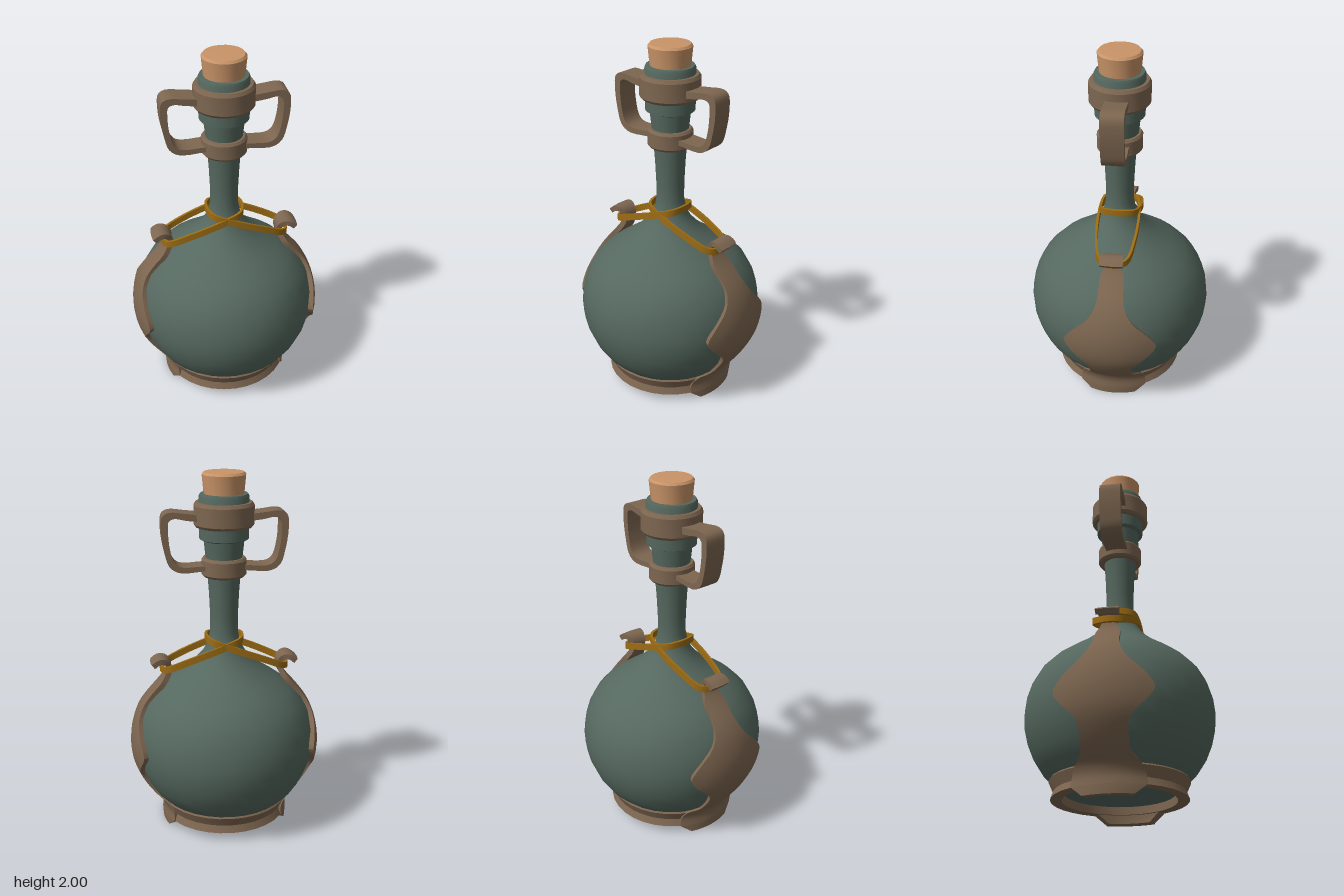
import * as THREE from 'three';
import { toCreasedNormals } from 'three/addons/utils/BufferGeometryUtils.js';

const mat = (name, color) => {
  const m = new THREE.MeshStandardMaterial({ color });
  m.name = name;
  return m;
};

// Skin a series of equal rings; looped joins last to first, otherwise ends are capped
function loft(rings, looped) {
  const n = rings[0].length, count = rings.length, index = [];
  for (let i = 0; i < (looped ? count : count - 1); i++) {
    const k = (i + 1) % count;
    for (let j = 0; j < n; j++) {
      const l = (j + 1) % n;
      const a = i * n + j, b = i * n + l, c = k * n + l, d = k * n + j;
      index.push(a, d, c, a, c, b);
    }
  }
  if (!looped) {
    const top = (count - 1) * n;
    for (let j = 0; j < n / 2 - 1; j++) {
      const q = [j, j + 1, n - 2 - j, n - 1 - j];
      index.push(q[0], q[1], q[2], q[0], q[2], q[3]);
      index.push(top + q[0], top + q[2], top + q[1], top + q[0], top + q[3], top + q[2]);
    }
  }
  const g = new THREE.BufferGeometry().setFromPoints(rings.flat());
  g.setIndex(index);
  return toCreasedNormals(g, 0.6);
}

// Curved plate wrapped round the y axis; rows are (radius, height, half width)
function wrappedPlate(rows, thickness, cols = 8) {
  const rings = rows.map((p, i) => {
    const a = rows[Math.max(i - 1, 0)], b = rows[Math.min(i + 1, rows.length - 1)];
    const len = Math.hypot(b.x - a.x, b.y - a.y);
    const nx = (b.y - a.y) / len, ny = -(b.x - a.x) / len;
    const half = Math.asin(p.z / p.x);
    const side = (r, y) => Array.from({ length: cols + 1 }, (_, j) => {
      const t = half * (2 * j / cols - 1);
      return new THREE.Vector3(r * Math.cos(t), y, r * Math.sin(t));
    });
    return [...side(p.x, p.y), ...side(p.x - nx * thickness, p.y - ny * thickness).reverse()];
  });
  return loft(rings, false);
}

// Flat band swept along a closed curve, standing on edge
function bandLoop(curve, height, thickness, steps = 48) {
  const up = new THREE.Vector3(0, 1, 0), rings = [];
  for (let i = 0; i < steps; i++) {
    const p = curve.getPointAt(i / steps), t = curve.getTangentAt(i / steps);
    const s = t.clone().cross(up).normalize();
    const u = s.clone().cross(t).normalize();
    rings.push([[-1, -1], [1, -1], [1, 1], [-1, 1]].map(([a, b]) =>
      p.clone().addScaledVector(s, a * thickness / 2).addScaledVector(u, b * height / 2)));
  }
  return loft(rings, true);
}

const turned = (points, segments = 32, crease = 0.5) => toCreasedNormals(
  new THREE.LatheGeometry(points.map(([x, y]) => new THREE.Vector2(x, y)), segments), crease);

const vectors = (list) => list.map((p) => new THREE.Vector3(...p));

export function createModel() {
  const model = new THREE.Group();
  const glass = mat('green glass', 0x55685f);
  const metal = mat('brown metal', 0x7d6650);
  const gold = mat('gold strap', 0x9c6c14);
  const corkMat = mat('cork', 0xc99468);

  const add = (name, geometry, material, turn = 0) => {
    const mesh = new THREE.Mesh(geometry, material);
    mesh.name = name;
    mesh.rotation.y = turn;
    model.add(mesh);
  };

  // Round bottle with a long neck and stepped lip
  add('bottle', turned([
    [0, 0.09], [0.29, 0.09], [0.355, 0.145], [0.41, 0.2], [0.455, 0.27], [0.488, 0.35],
    [0.507, 0.43], [0.511, 0.5], [0.502, 0.58], [0.478, 0.66], [0.437, 0.735], [0.375, 0.8],
    [0.30, 0.855], [0.225, 0.905], [0.165, 0.955], [0.12, 1.005], [0.09, 1.06], [0.077, 1.13],
    [0.077, 1.22], [0.083, 1.35], [0.093, 1.48], [0.102, 1.56], [0.11, 1.635], [0.133, 1.645],
    [0.135, 1.7], [0.135, 1.87], [0.128, 1.885], [0, 1.885],
  ]), glass);

  add('cork', turned([[0, 1.87], [0.107, 1.87], [0.118, 1.985], [0.108, 1.997], [0, 2]], 20), corkMat);

  // Metal collars on the neck
  add('upperCollar', turned([
    [0.125, 1.71], [0.152, 1.71], [0.163, 1.725], [0.163, 1.825], [0.152, 1.842], [0.125, 1.842],
  ]), metal);
  add('lowerCollar', turned([
    [0.08, 1.44], [0.112, 1.44], [0.123, 1.453], [0.123, 1.53], [0.113, 1.543], [0.08, 1.543],
  ]), metal);

  // Base ring, open in the middle
  add('baseRing', turned([
    [0.30, 0.05], [0.36, 0.05], [0.345, 0.09], [0.37, 0.145], [0.362, 0.156],
    [0.335, 0.156], [0.30, 0.10], [0.30, 0.05],
  ]), metal);

  // Handle outline, extruded into a flat bar
  const outer = new THREE.CatmullRomCurve3(vectors([
    [0.14, 1.782, 0], [0.21, 1.79, 0], [0.30, 1.797, 0], [0.333, 1.775, 0], [0.34, 1.70, 0],
    [0.325, 1.59, 0], [0.30, 1.51, 0], [0.25, 1.475, 0], [0.10, 1.48, 0]])).getPoints(28);
  const inner = new THREE.CatmullRomCurve3(vectors([
    [0.10, 1.508, 0], [0.24, 1.506, 0], [0.275, 1.535, 0], [0.296, 1.61, 0], [0.303, 1.70, 0],
    [0.298, 1.75, 0], [0.27, 1.764, 0], [0.21, 1.754, 0], [0.14, 1.745, 0]])).getPoints(28);
  const handle = toCreasedNormals(new THREE.ExtrudeGeometry(
    new THREE.Shape([...outer, ...inner].map((p) => new THREE.Vector2(p.x, p.y))),
    { depth: 0.12, bevelEnabled: false }).translate(0, 0, -0.06), 0.6);

  // Arm hugging the bottle, ending in an outward hook
  const arm = wrappedPlate(new THREE.CatmullRomCurve3(vectors([
    [0.363, 0.05, 0.19], [0.36, 0.1, 0.185], [0.378, 0.15, 0.165], [0.415, 0.19, 0.125],
    [0.46, 0.25, 0.12], [0.505, 0.33, 0.13], [0.53, 0.405, 0.2], [0.537, 0.485, 0.255],
    [0.53, 0.56, 0.21], [0.505, 0.65, 0.12], [0.47, 0.72, 0.08], [0.425, 0.78, 0.068],
    [0.365, 0.85, 0.064], [0.333, 0.9, 0.045], [0.328, 0.935, 0.045], [0.345, 0.955, 0.055],
    [0.368, 0.955, 0.06], [0.395, 0.935, 0.06]])).getPoints(51), 0.03);

  const foot = wrappedPlate(vectors([[0.36, 0, 0.13], [0.363, 0.05, 0.19], [0.36, 0.07, 0.19]]), 0.05);

  // Strap looping from the hook round the far side of the neck
  const halfLoop = [[0.33, 0.93, 0.07], [0.2, 0.985, 0.105], [0, 1.06, 0.108], [-0.075, 1.085, 0.085]];
  const strap = bandLoop(new THREE.CatmullRomCurve3(vectors([
    [0.355, 0.925, 0], ...halfLoop, [-0.1, 1.092, 0],
    ...halfLoop.map(([x, y, z]) => [x, y, -z]).reverse()]), true), 0.036, 0.014);

  [['left', 0], ['right', Math.PI]].forEach(([side, turn]) => {
    add(side + 'Handle', handle, metal, turn);
    add(side + 'Arm', arm, metal, turn);
    add(side + 'Foot', foot, metal, turn);
    add(side + 'Strap', strap, gold, turn);
  });
  return model;
}
